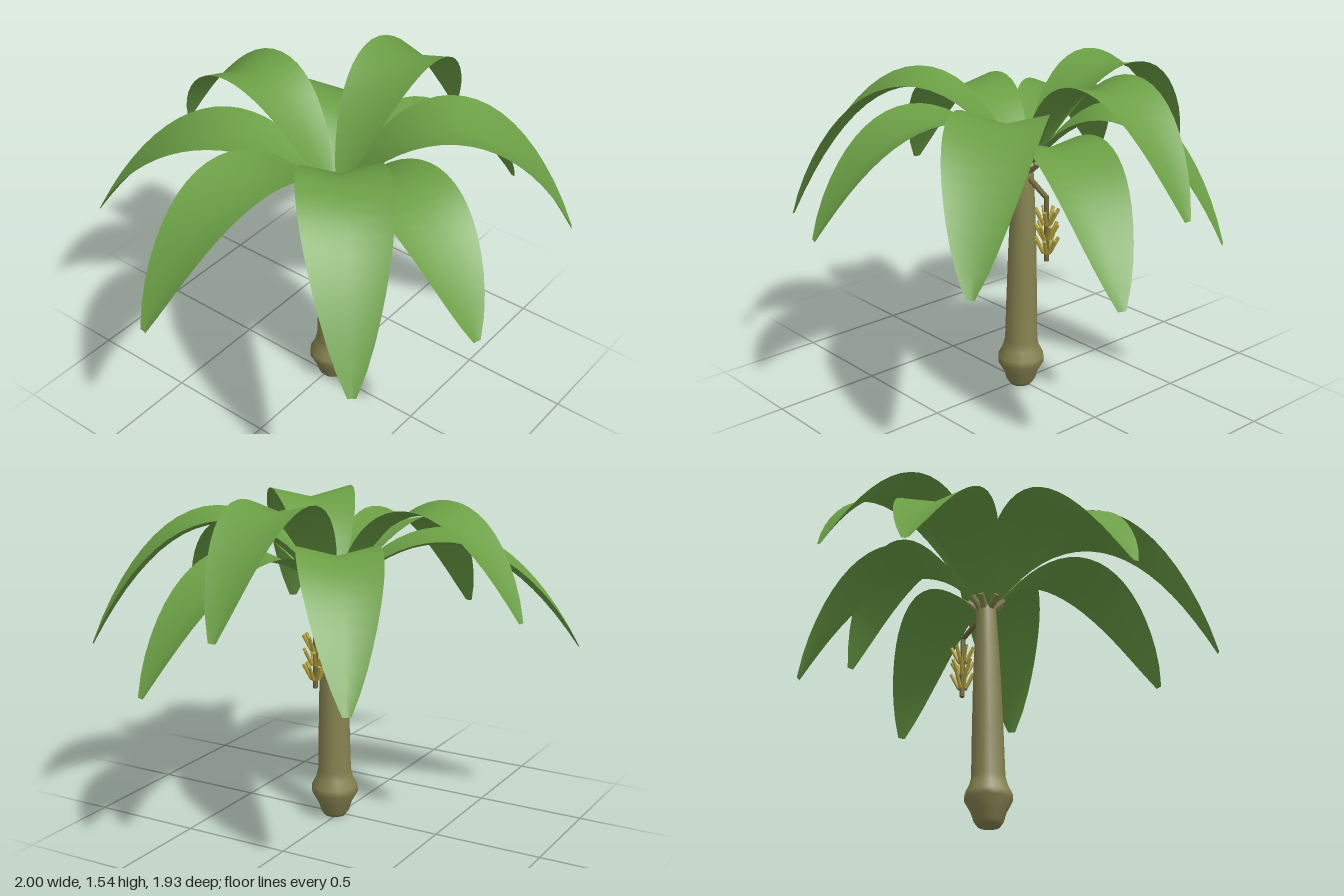
import * as THREE from 'three';

const mat = (name, color) => {
  const m = new THREE.MeshStandardMaterial({ color });
  m.name = name;
  return m;
};

// Tapered rod between two points
function rod(name, a, b, r0, r1, material, sides = 8) {
  const dir = new THREE.Vector3().subVectors(b, a);
  const mesh = new THREE.Mesh(new THREE.CylinderGeometry(r1, r0, dir.length(), sides), material);
  mesh.name = name;
  mesh.position.copy(a).add(b).multiplyScalar(0.5);
  mesh.quaternion.setFromUnitVectors(new THREE.Vector3(0, 1, 0), dir.normalize());
  return mesh;
}

// Arched leaf with a shallow V cross-section, following a parabola from root to tip
function leafGeometry(root, tip, peak, halfWidth) {
  const N = 20, pos = [], idx = [];
  const D = peak - root.y, T = tip.y - root.y;
  const a = 2 * (D + Math.sqrt(D * (D - T))), b = a - T;
  const dx = tip.x - root.x, dz = tip.z - root.z, len = Math.hypot(dx, dz);
  const ux = dx / len, uz = dz / len;
  for (let i = 0; i <= N; i++) {
    const s = i / N;
    const w = Math.max(0.018, halfWidth * Math.pow(Math.max(0, Math.sin(Math.PI * s)), 0.62));
    const slope = (a - 2 * b * s) / len, k = Math.hypot(1, slope);
    for (const j of [-1, 0, 1]) {
      const lift = Math.abs(j) * w * 0.25;
      const out = s * len - lift * slope / k;
      pos.push(root.x + ux * out - uz * j * w,
        root.y + a * s - b * s * s + lift / k,
        root.z + uz * out + ux * j * w);
    }
  }
  for (let i = 0; i < N; i++) for (let j = 0; j < 2; j++) {
    const p = i * 3 + j, q = p + 3;
    idx.push(p, p + 1, q, p + 1, q + 1, q);
  }
  const g = new THREE.BufferGeometry();
  g.setAttribute('position', new THREE.Float32BufferAttribute(pos, 3));
  g.setIndex(idx);
  g.computeVertexNormals();
  return g;
}

export function createModel() {
  const group = new THREE.Group();
  const V = (x, y, z) => new THREE.Vector3(x, y, z);
  const trunkMat = mat('trunk olive', 0x85824f);
  const stalkMat = mat('stalk brown', 0x6f6738);
  const fruitMat = mat('fruit yellow', 0xb3a23e);
  const leafMat = mat('leaf green', 0x6b9f45);
  leafMat.side = THREE.DoubleSide;

  // Trunk with a swollen foot, leaning slightly
  const profile = [[0, 0], [0.05, 0.003], [0.066, 0.025], [0.08, 0.07], [0.108, 0.12], [0.106, 0.15],
    [0.086, 0.19], [0.076, 0.23], [0.071, 0.45], [0.064, 0.7], [0.054, 0.92], [0.046, 1.06],
    [0.036, 1.09], [0, 1.105]].map(p => new THREE.Vector2(...p));
  const trunkGeo = new THREE.LatheGeometry(profile, 14);
  const tp = trunkGeo.attributes.position;
  for (let i = 0; i < tp.count; i++) tp.setX(i, tp.getX(i) + 0.02 + 0.017 * tp.getY(i));
  trunkGeo.translate(0, 0, 0.015);
  const trunk = new THREE.Mesh(trunkGeo, trunkMat);
  trunk.name = 'trunk';
  group.add(trunk);

  // Leaves: tip x, y, z, peak height of midrib, half width
  const crown = V(0.038, 1.06, 0.015);
  const leaves = [
    [-0.99, 0.84, -0.18, 1.33, 0.18],
    [-0.48, 0.83, -0.955, 1.29, 0.18],
    [0.11, 1.06, -0.915, 1.462, 0.172],
    [0.78, 0.78, -0.48, 1.31, 0.18],
    [0.99, 1.06, 0.0, 1.502, 0.17],
    [0.99, 0.78, 0.36, 1.26, 0.175],
    [0.68, 0.87, 0.86, 1.39, 0.2],
    [-0.23, 0.875, 0.95, 1.315, 0.195],
    [-0.75, 0.81, 0.715, 1.42, 0.195],
  ];
  for (const [x, y, z, peak, width] of leaves) {
    const tip = V(x, y, z);
    const dir = V(x - crown.x, 0, z - crown.z).normalize();
    const root = crown.clone().addScaledVector(dir, 0.035);
    const leaf = new THREE.Mesh(leafGeometry(root, tip, peak, width), leafMat);
    leaf.name = 'leaf';
    group.add(leaf);
    // Short leaf stem
    const end = crown.clone().addScaledVector(dir, 0.085);
    end.y = 1.105;
    group.add(rod('leafStem', crown.clone().setY(1.03), end, 0.022, 0.014, trunkMat, 6));
  }

  // Hanging fruit stalk
  const bend = V(0.19, 0.962, 0.015);
  group.add(rod('stalkArm', V(0.06, 1.035, 0.015), bend, 0.013, 0.012, stalkMat));
  group.add(rod('stalk', V(0.19, 0.97, 0.015), V(0.193, 0.665, 0.015), 0.011, 0.011, stalkMat));

  // Three rings of upturned fruit
  for (let tier = 0; tier < 3; tier++) {
    const y = 0.84 - tier * 0.067;
    for (let i = 0; i < 7; i++) {
      const t = (i + tier * 0.5) / 7 * Math.PI * 2, c = Math.cos(t), s = Math.sin(t);
      group.add(rod('fruit',
        V(0.192 + c * 0.016, y, 0.015 + s * 0.016),
        V(0.192 + c * 0.053, y + 0.07, 0.015 + s * 0.053), 0.009, 0.008, fruitMat, 6));
    }
  }
  return group;
}
